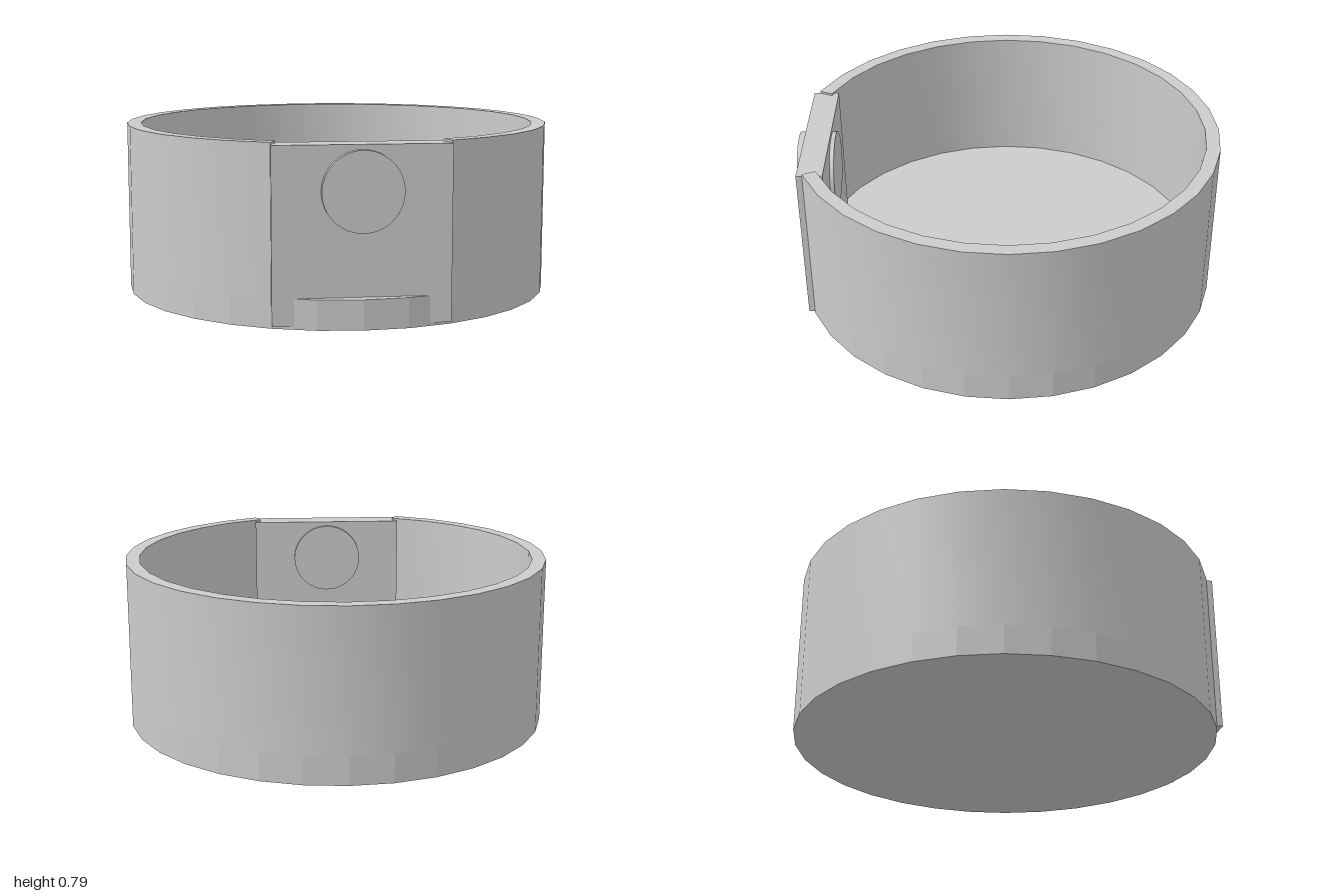
import * as THREE from 'three';
import { toCreasedNormals } from 'three/addons/utils/BufferGeometryUtils.js';

const SIDES = 32, OUTER = 1, INNER = 0.935;
const BASE_H = 0.132, TOP = 0.79;

export function createModel() {
  const group = new THREE.Group();
  const smooth = new THREE.MeshStandardMaterial({ color: 0xcccccc });
  const faceted = new THREE.MeshStandardMaterial({ color: 0xcccccc, flatShading: true });

  const add = (name, geometry, material, x, y, z) => {
    const mesh = new THREE.Mesh(geometry, material);
    mesh.name = name;
    mesh.position.set(x, y, z);
    group.add(mesh);
    return mesh;
  };

  // Solid faceted disc that forms the floor
  add('base', new THREE.CylinderGeometry(OUTER, OUTER, BASE_H, SIDES), faceted, 0, BASE_H / 2, 0);

  // Ring wall with a four-side gap at the front for the panel
  const arc = (radius) => {
    const points = [];
    for (let i = 2; i <= SIDES - 2; i++) {
      const a = (i / SIDES) * Math.PI * 2;
      points.push(new THREE.Vector2(radius * Math.sin(a), -radius * Math.cos(a)));
    }
    return points;
  };
  const outline = new THREE.Shape([...arc(OUTER), ...arc(INNER).reverse()]);
  const wall = new THREE.ExtrudeGeometry(outline, { depth: TOP - BASE_H, bevelEnabled: false });
  wall.rotateX(-Math.PI / 2);
  add('wall', toCreasedNormals(wall, Math.PI / 6), smooth, 0, BASE_H, 0);

  // Flat front panel closing the gap
  add('frontPanel', new THREE.BoxGeometry(0.766, 0.766, 0.12), faceted, 0, 0.397, 0.892);

  // Round disc passing through the panel
  const disc = new THREE.CylinderGeometry(0.175, 0.175, 0.172, 48);
  disc.rotateX(Math.PI / 2);
  add('panelDisc', disc, smooth, 0, 0.584, 0.898);

  return group;
}
